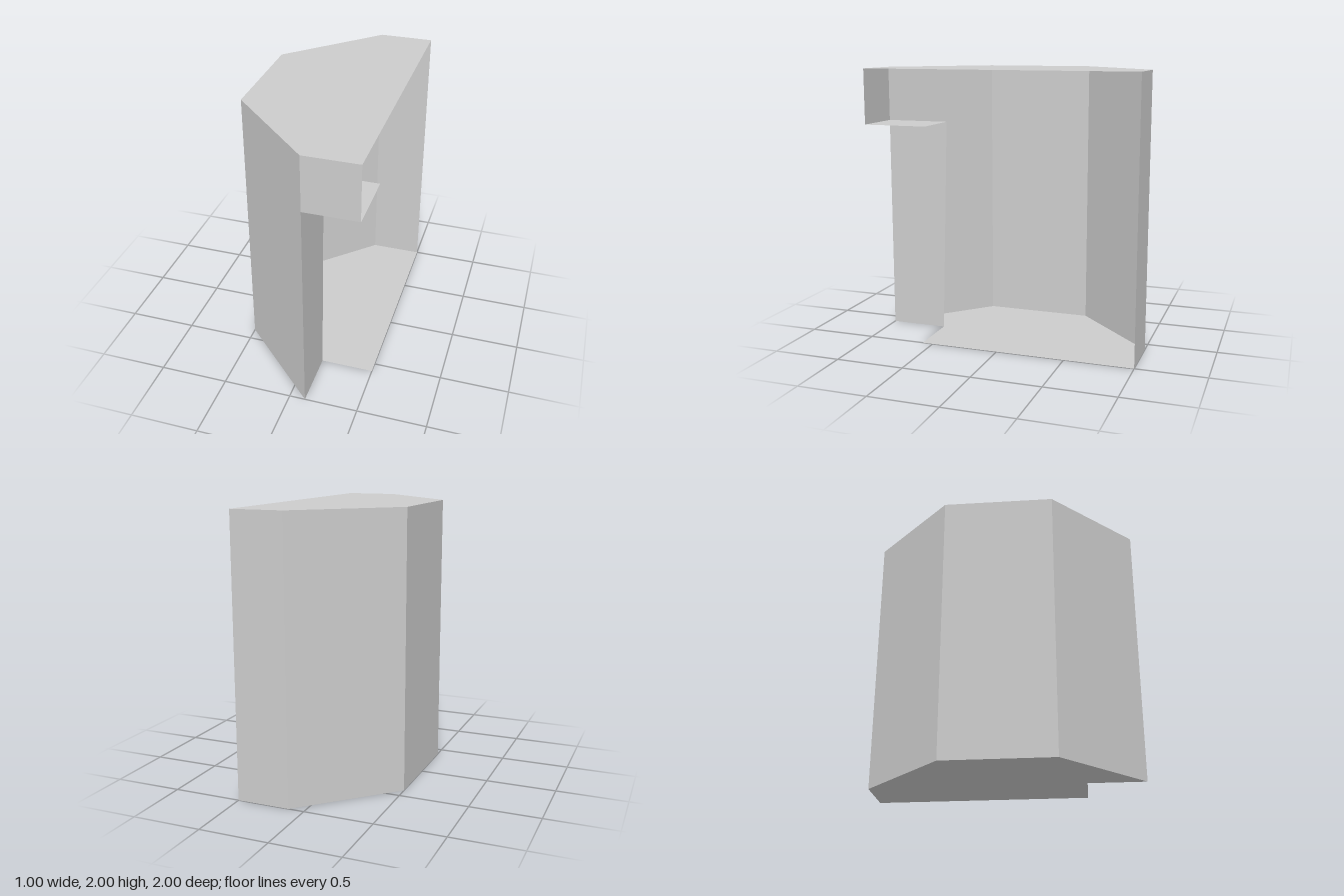
import * as THREE from 'three';

const H = 2;            // full height
const DOOR_H = 1.6;     // height of the corner opening
const JAMB_X = 0.115;   // where the slanted walls meet the straight ends
const JAMB_TOP = 0.53;  // depth of the opening at its head
const JAMB_BOTTOM = 0.58; // depth of the opening at the floor

export function createModel() {
  const group = new THREE.Group();
  const grey = new THREE.MeshStandardMaterial({ color: 0xcccccc, side: THREE.DoubleSide });
  grey.name = 'light grey';

  const add = (name, geometry) => {
    const mesh = new THREE.Mesh(geometry, grey);
    mesh.name = name;
    group.add(mesh);
  };

  // Flat four-cornered panel, corners counter-clockwise from its outside
  const panel = (name, ...corners) => {
    const g = new THREE.BufferGeometry();
    g.setAttribute('position', new THREE.Float32BufferAttribute(corners.flat(), 3));
    g.setIndex([0, 1, 2, 0, 2, 3]);
    g.computeVertexNormals();
    add(name, g);
  };

  // Upright wall between two plan points [x, z]
  const wall = (name, [ax, az], [bx, bz], y0 = 0, y1 = H) =>
    panel(name, [ax, y0, az], [bx, y0, bz], [bx, y1, bz], [ax, y1, az]);

  // Horizontal slab face from a plan outline [x, z]
  const slab = (name, outline, y, up) => {
    const g = new THREE.ShapeGeometry(new THREE.Shape(outline.map(([x, z]) => new THREE.Vector2(x, up ? -z : z))));
    g.rotateX(up ? -Math.PI / 2 : Math.PI / 2).translate(0, y, 0);
    add(name, g);
  };

  const backEnd = [0.5, -1], backCorner = [JAMB_X, -1], backSide = [-0.5, -0.4];
  const frontSide = [-0.5, 0.4], frontCorner = [JAMB_X, 1], frontEnd = [0.5, 1];

  // Walls; the +x side stays open
  wall('backWall', backEnd, backCorner);
  wall('backSlantedWall', backCorner, backSide);
  wall('sideWall', backSide, frontSide);
  wall('frontSlantedWall', frontSide, frontCorner);
  wall('header', frontCorner, frontEnd, DOOR_H, H);

  // Roof, and floor with the corner opening cut away
  slab('roof', [backEnd, backCorner, backSide, frontSide, frontCorner, frontEnd], H, true);
  slab('floor', [backEnd, backCorner, backSide, frontSide, frontCorner,
    [JAMB_X, JAMB_BOTTOM], [0.5, JAMB_BOTTOM]], 0, false);

  // Lining of the corner opening
  slab('openingCeiling', [frontCorner, frontEnd, [0.5, JAMB_TOP], [JAMB_X, JAMB_TOP]], DOOR_H, false);
  panel('openingJamb', [JAMB_X, 0, 1], [JAMB_X, 0, JAMB_BOTTOM], [JAMB_X, DOOR_H, JAMB_TOP], [JAMB_X, DOOR_H, 1]);

  return group;
}
